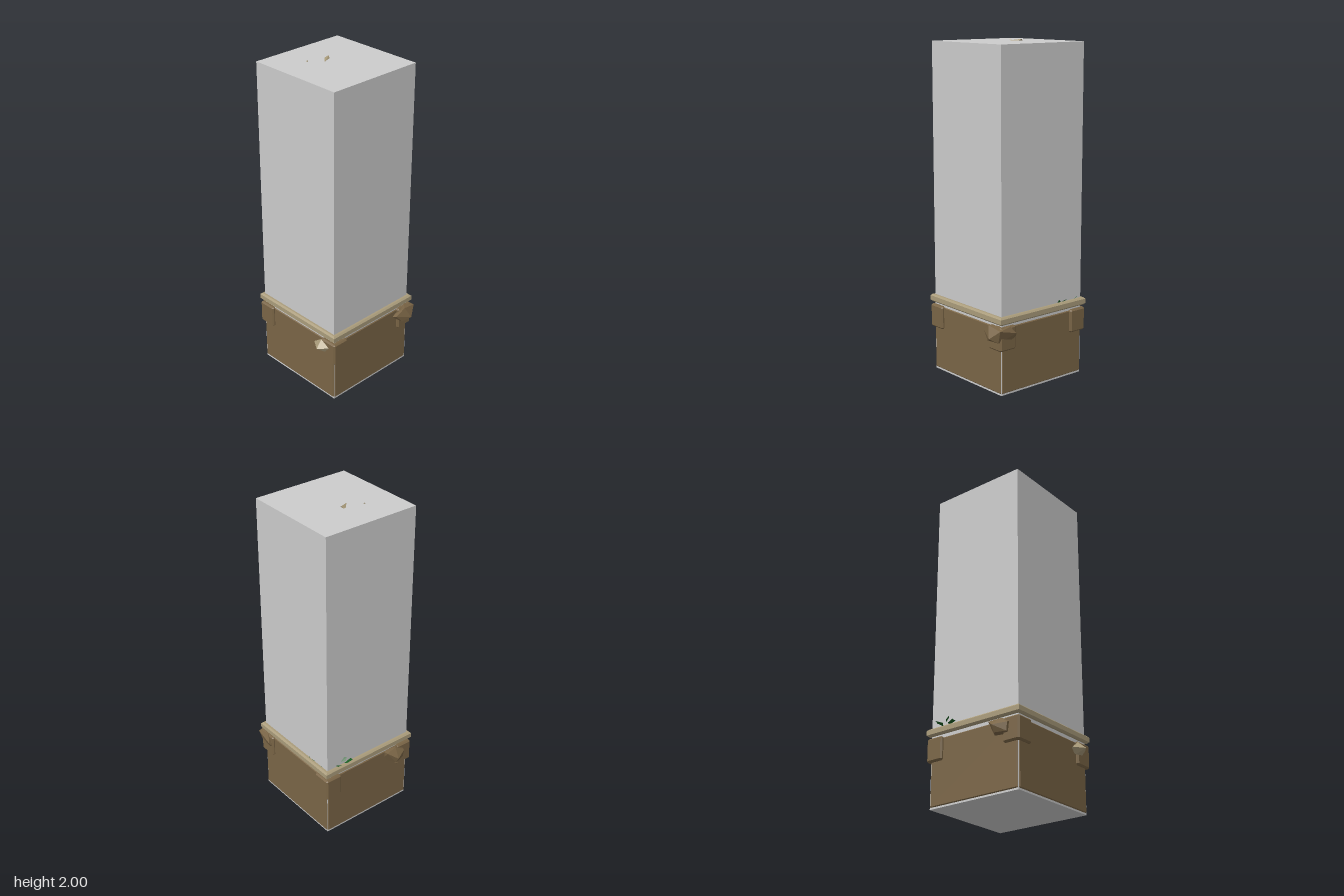
import * as THREE from 'three';
import { ConvexGeometry } from 'three/addons/geometries/ConvexGeometry.js';

const V = (p) => new THREE.Vector3(...p);
const CZ = -0.016; // the column sits slightly behind the origin

// Box with chamfered edges, given its limits
function chamferBox([x0, x1], [y0, y1], [z0, z1], b) {
  const h = [(x1 - x0) / 2, (y1 - y0) / 2, (z1 - z0) / 2];
  const pts = [];
  for (const sx of [-1, 1]) for (const sy of [-1, 1]) for (const sz of [-1, 1]) {
    for (let full = 0; full < 3; full++) {
      const s = [sx, sy, sz];
      pts.push(V(h.map((v, i) => s[i] * (i === full ? v : v - b))));
    }
  }
  return new ConvexGeometry(pts).translate((x0 + x1) / 2, (y0 + y1) / 2, (z0 + z1) / 2);
}

const hull = (pts) => new ConvexGeometry(pts.map(V));

// Flat folded leaf from a base, two side points and a tip
function leaf(base, a, tip, b) {
  const g = new THREE.BufferGeometry();
  g.setAttribute('position', new THREE.Float32BufferAttribute([...base, ...a, ...tip, ...base, ...tip, ...b], 3));
  g.computeVertexNormals();
  return g;
}

export function createModel() {
  const group = new THREE.Group();
  const material = (name, color, side = THREE.FrontSide) => {
    const m = new THREE.MeshStandardMaterial({ color, side });
    m.name = name;
    return m;
  };
  const grey = material('light grey', 0xcccccc);
  const brown = material('brown stone', 0x7a6546);
  const tan = material('tan stone', 0xaa9c7b);
  const green = material('leaf green', 0x1b5e24, THREE.DoubleSide);
  const add = (name, geometry, mat) => {
    const m = new THREE.Mesh(geometry, mat);
    m.name = name;
    group.add(m);
    return m;
  };

  // Tall column running the full height
  add('column', new THREE.BoxGeometry(0.62, 1.99, 0.62).translate(0, 0.995, CZ), grey);

  // Chamfered base, with the column edges showing at its corners
  add('base', chamferBox([-0.315, 0.315], [0.003, 0.413], [CZ - 0.315, CZ + 0.315], 0.013), brown);

  // Blocks clasping the four corners
  for (const sx of [-1, 1]) for (const sz of [-1, 1]) {
    const xs = [sx * 0.215, sx * 0.332].sort((a, b) => a - b);
    const zs = [CZ + sz * 0.218, CZ + sz * 0.33].sort((a, b) => a - b);
    add('cornerBlock', chamferBox(xs, [0.27, 0.411], zs, 0.009), brown);
  }

  // Bevelled trim with mitred corners
  const s = new THREE.Shape();
  s.moveTo(-0.322, -0.322).lineTo(0.322, -0.322).lineTo(0.322, 0.322).lineTo(-0.322, 0.322).closePath();
  const trim = new THREE.ExtrudeGeometry(s, {
    depth: 0.028, bevelEnabled: true, bevelThickness: 0.009, bevelSize: 0.01, bevelSegments: 1,
  });
  add('trim', trim.rotateX(-Math.PI / 2).translate(0, 0.434, CZ - 0.001), tan);

  // Rocks embedded in the base
  add('leftRock', hull([
    [-0.385, 0.365, 0.17], [-0.345, 0.405, 0.115], [-0.33, 0.414, 0.19], [-0.348, 0.375, 0.247],
    [-0.345, 0.325, 0.24], [-0.365, 0.325, 0.17], [-0.29, 0.4, 0.11], [-0.29, 0.4, 0.25],
    [-0.29, 0.32, 0.24], [-0.29, 0.33, 0.12],
  ]), brown);
  add('backRock', hull([
    [0.381, 0.35, -0.3], [0.345, 0.4, -0.358], [0.23, 0.37, -0.364], [0.222, 0.35, -0.35],
    [0.34, 0.375, -0.208], [0.355, 0.42, -0.265], [0.35, 0.325, -0.25], [0.34, 0.325, -0.335],
    [0.25, 0.33, -0.345], [0.26, 0.41, -0.345], [0.3, 0.36, -0.2],
  ]), brown);
  add('frontRock', hull([
    [0.23, 0.362, 0.36], [0.16, 0.36, 0.314], [0.22, 0.405, 0.312], [0.286, 0.372, 0.316],
    [0.255, 0.333, 0.316], [0.195, 0.325, 0.312], [0.22, 0.36, 0.26],
  ]), tan);

  // Shards breaking through the top
  add('topShard', hull([
    [-0.102, 1.985, -0.035], [-0.1, 1.985, -0.01], [-0.03, 1.985, 0.055], [-0.06, 1.985, -0.03],
    [-0.085, 2, -0.042], [-0.07, 1.997, -0.02],
  ]), tan);
  add('topChip', hull([
    [-0.121, 1.985, 0.07], [-0.118, 1.985, 0.102], [-0.102, 1.985, 0.102], [-0.116, 1.996, 0.095],
  ]), tan);

  // Leaves sprouting above the trim
  const leaves = [
    [[-0.311, 0.47, -0.24], [-0.33, 0.485, -0.23], [-0.348, 0.5, -0.27], [-0.32, 0.495, -0.28]],
    [[-0.311, 0.49, -0.225], [-0.33, 0.5, -0.205], [-0.325, 0.52, -0.19], [-0.311, 0.515, -0.2]],
    [[-0.311, 0.47, -0.2], [-0.33, 0.478, -0.19], [-0.336, 0.49, -0.155], [-0.311, 0.485, -0.15]],
    [[-0.255, 0.47, -0.326], [-0.262, 0.474, -0.332], [-0.272, 0.488, -0.338], [-0.273, 0.474, -0.327]],
    [[-0.155, 0.47, -0.326], [-0.17, 0.48, -0.334], [-0.197, 0.478, -0.328], [-0.18, 0.472, -0.326]],
    [[-0.15, 0.47, -0.326], [-0.14, 0.48, -0.333], [-0.123, 0.492, -0.34], [-0.122, 0.474, -0.327]],
  ];
  for (const l of leaves) add('leaf', leaf(...l), green);

  return group;
}
